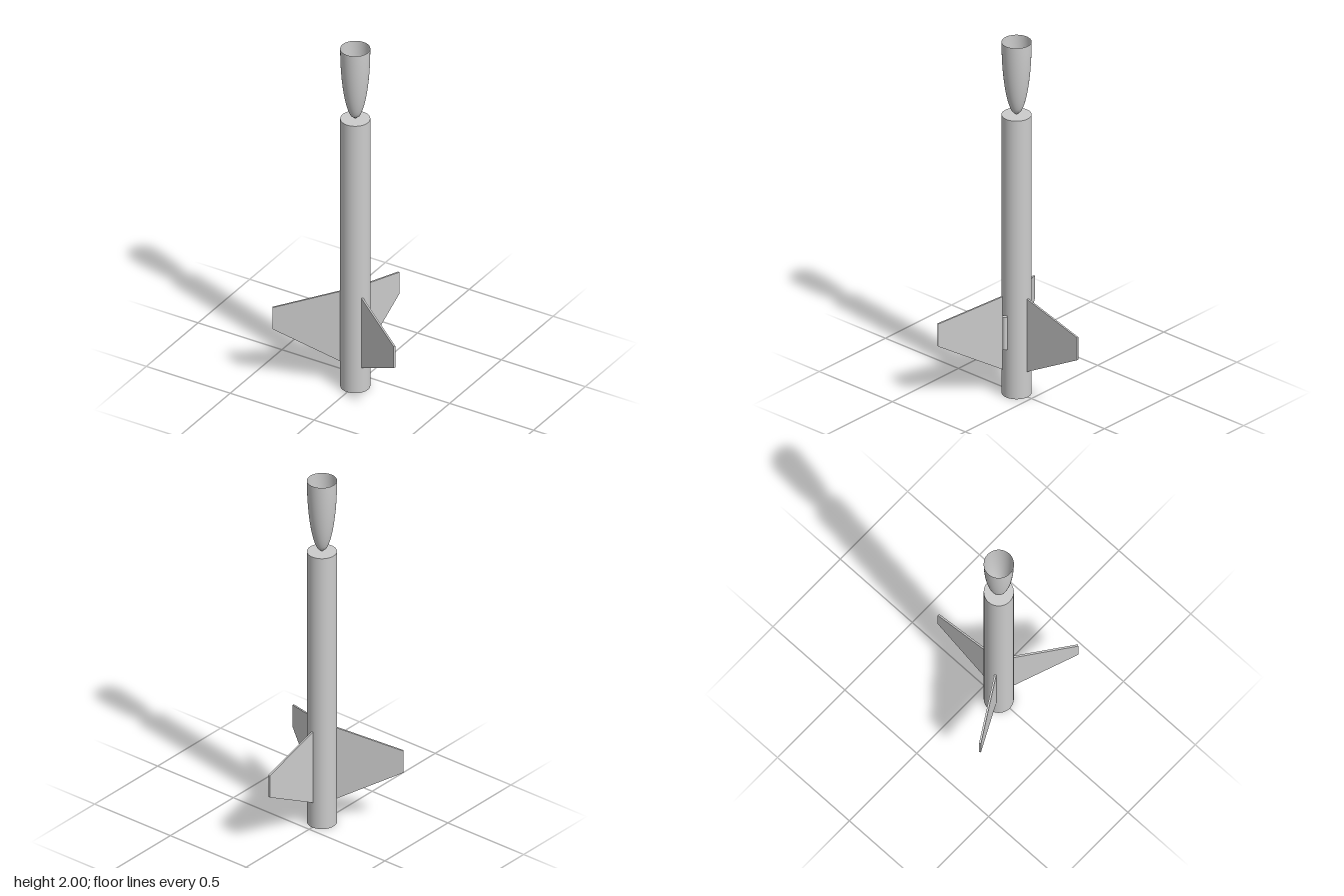
import * as THREE from 'three';

const R = 0.0765;        // body radius
const BODY_H = 1.585;
const FIN_REACH = 0.42;  // body axis to fin tip
const FIN_T = 0.01;

export function createModel() {
  const rocket = new THREE.Group();
  rocket.name = 'rocket';
  const grey = new THREE.MeshStandardMaterial({ color: 0xcccccc, side: THREE.DoubleSide });
  grey.name = 'plain grey';

  const add = (name, geometry) => {
    const mesh = new THREE.Mesh(geometry, grey);
    mesh.name = name;
    rocket.add(mesh);
    return mesh;
  };

  // Body tube, closed at both ends
  add('bodyTube', new THREE.CylinderGeometry(R, R, BODY_H, 64)).position.y = BODY_H / 2;

  // Elliptical nose shell, point down and open at the top
  const noseLength = 2 - BODY_H;
  const steps = 20;
  const profile = [];
  for (let i = 0; i <= steps; i++) {
    const t = 1 - i / steps;
    profile.push(new THREE.Vector2(R * Math.sqrt(1 - t * t), 2 - noseLength * t));
  }
  add('noseCone', new THREE.LatheGeometry(profile, 64));

  // Three tapered fins, evenly spaced, one pointing straight back
  const outline = new THREE.Shape([
    new THREE.Vector2(R - 0.001, 0.145),
    new THREE.Vector2(FIN_REACH, 0.33),
    new THREE.Vector2(FIN_REACH, 0.457),
    new THREE.Vector2(R - 0.001, 0.56),
  ]);
  const finGeometry = new THREE.ExtrudeGeometry(outline, { depth: FIN_T, bevelEnabled: false });
  finGeometry.translate(0, 0, -FIN_T / 2);
  for (let i = 0; i < 3; i++) {
    add('fin' + (i + 1), finGeometry).rotation.y = Math.PI / 2 + (i * Math.PI * 2) / 3;
  }

  // Launch lug on the left side
  add('launchLug', new THREE.CylinderGeometry(0.013, 0.013, 0.185, 32)).position.set(0.087, 0.373, 0);

  // The fins shift the body axis forward of centre
  rocket.position.z = 0.102;
  const model = new THREE.Group();
  model.name = 'model';
  model.add(rocket);
  return model;
}
